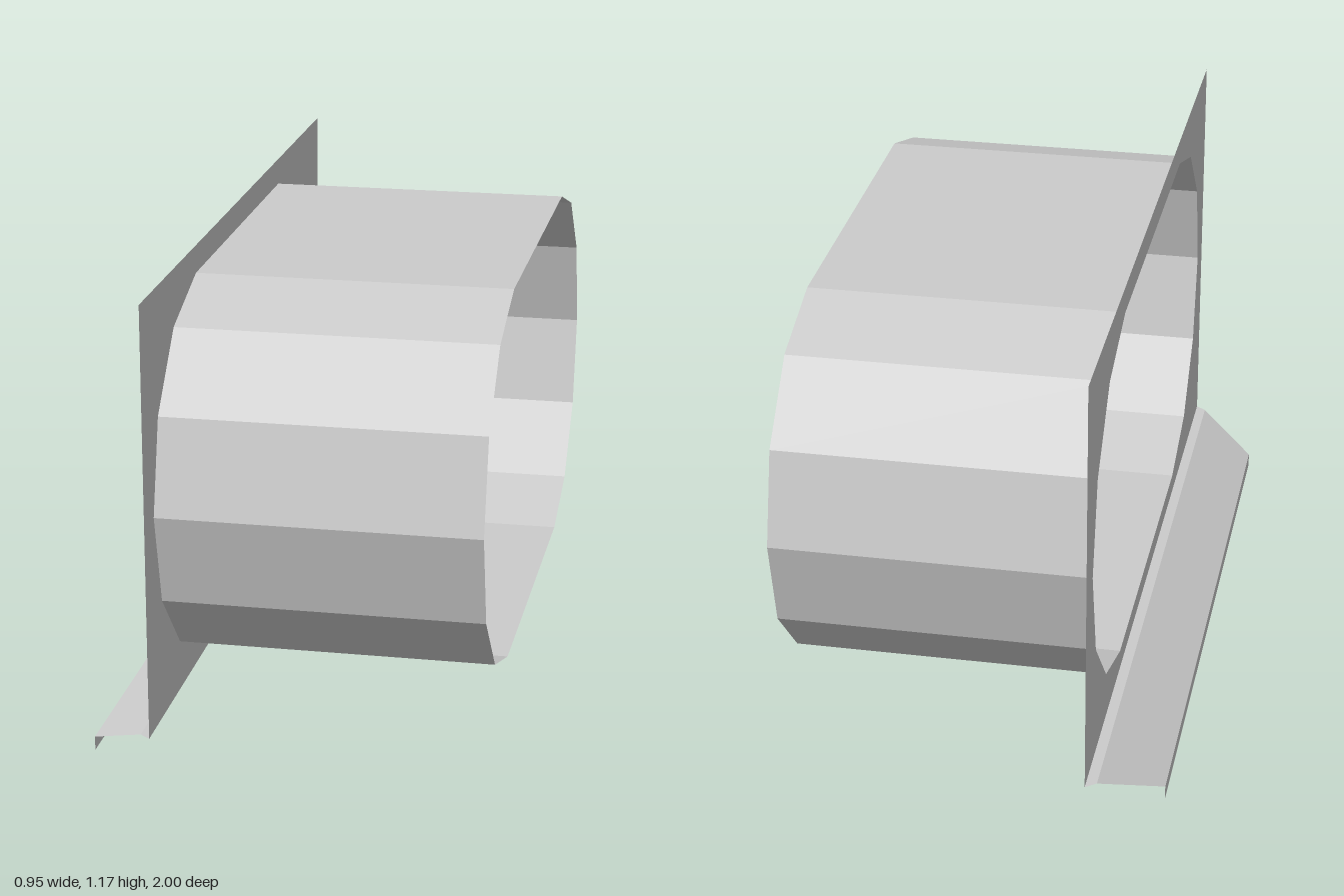
import * as THREE from 'three';

const FLANGE_X = -0.302, DUCT_END_X = 0.475;

// Quads between two matching polylines, flat shaded
function strip(a, b) {
  const pos = [];
  for (let i = 0; i < a.length - 1; i++) {
    for (const p of [a[i], b[i], b[i + 1], a[i], b[i + 1], a[i + 1]]) pos.push(...p);
  }
  const g = new THREE.BufferGeometry();
  g.setAttribute('position', new THREE.Float32BufferAttribute(pos, 3));
  g.computeVertexNormals();
  return g;
}

export function createModel() {
  const group = new THREE.Group();
  const mat = new THREE.MeshStandardMaterial({ color: 0xcccccc, side: THREE.DoubleSide, flatShading: true });
  const add = (name, geometry) => {
    const mesh = new THREE.Mesh(geometry, mat);
    mesh.name = name;
    group.add(mesh);
  };

  // Oval duct outline as [z, y], mirrored from one quarter
  const midY = 0.63;
  const quarter = [[0.913, 0], [0.855, 0.23], [0.693, 0.4], [0.468, 0.472]];
  const upper = [...quarter, ...quarter.slice().reverse().map(([z, y]) => [-z, y])];
  const lower = upper.slice(1, -1).reverse().map(([z, y]) => [z, -y]);
  const oval = [...upper, ...lower].map(([z, y]) => [z, midY + y]);

  // Duct sleeve, open at both ends
  const ring = [...oval, oval[0]];
  add('ductSleeve', strip(
    ring.map(([z, y]) => [FLANGE_X, y, z]),
    ring.map(([z, y]) => [DUCT_END_X, y, z])
  ));

  // Flat flange plate with the oval opening
  const plate = new THREE.Shape([[-1, 0.107], [1, 0.107], [1, 1.17], [-1, 1.17]].map(p => new THREE.Vector2(...p)));
  plate.holes.push(new THREE.Path(oval.map(p => new THREE.Vector2(...p))));
  const plateGeometry = new THREE.ShapeGeometry(plate);
  plateGeometry.rotateY(Math.PI / 2).translate(FLANGE_X, 0, 0);
  add('flangePlate', plateGeometry);

  // Folded drip lip below the flange: short ledge, slope, hanging edge
  const fold = [[FLANGE_X, 0.107, 1], [-0.328, 0.107, 0.98], [-0.476, 0.035, 0.86], [-0.476, 0, 0.86]];
  add('dripLip', strip(fold, fold.map(([x, y, z]) => [x, y, -z])));

  return group;
}
